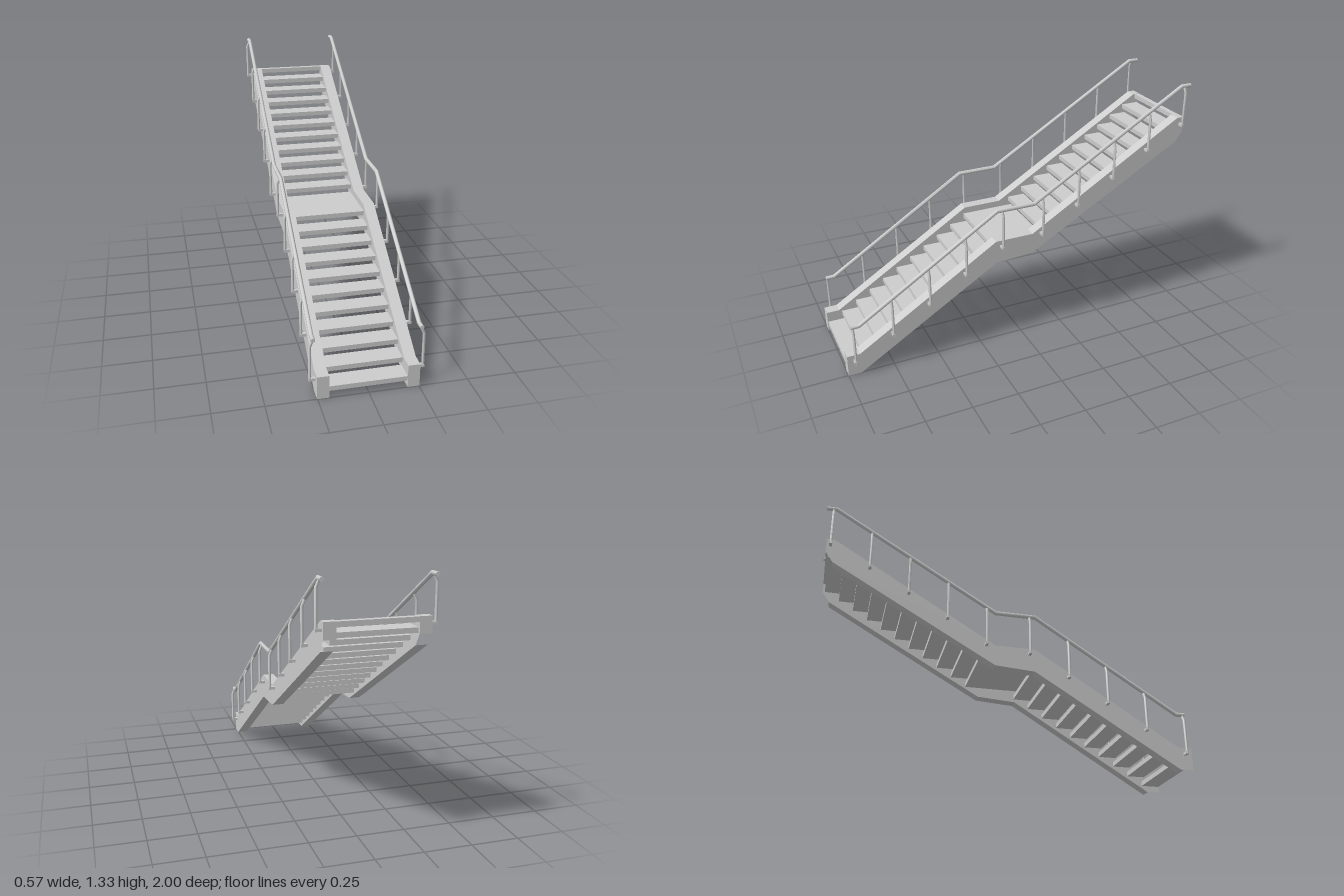
import * as THREE from 'three';
import { toCreasedNormals } from 'three/addons/utils/BufferGeometryUtils.js';

// Stringer outline as [z, y]
const STRINGER = [
  [1, 0], [1, 0.12], [0.93, 0.12], [0.15, 0.61], [-0.065, 0.61], [-0.945, 1.14],
  [-0.985, 1.14], [-0.985, 1.06], [-0.945, 1.0], [-0.065, 0.495], [0.15, 0.48], [0.93, 0],
];
const OPEN_EDGES = [7, 11]; // hollow ends of the stringer

// Handrail centre line as [z, y]
const RAIL = [[0.97, 0.302], [0.925, 0.302], [0.15, 0.796], [-0.065, 0.796], [-0.945, 1.324], [-1, 1.324]];

// Post positions as [z, foot y, top y]
const POSTS = [
  [0.96, 0.08, 0.3], [0.748, 0.195, 0.412], [0.54, 0.325, 0.545], [0.332, 0.455, 0.678], [0.12, 0.57, 0.794],
  [-0.115, 0.6, 0.822], [-0.326, 0.73, 0.95], [-0.537, 0.855, 1.077], [-0.749, 0.98, 1.204], [-0.963, 1.095, 1.322],
];

function fromTriangles(tris) {
  const g = new THREE.BufferGeometry();
  g.setAttribute('position', new THREE.Float32BufferAttribute(tris.flatMap((p) => [p.x, p.y, p.z]), 3));
  g.computeVertexNormals();
  return g;
}

// Closed-ended bar with mitred corners along a flat path; side is the path plane's normal
function bar(points, side, radius, sides) {
  const last = points.length - 1;
  const rings = points.map((p, k) => {
    const before = p.clone().sub(points[Math.max(k - 1, 0)]).normalize();
    const after = points[Math.min(k + 1, last)].clone().sub(p).normalize();
    const tangent = before.clone().add(after).normalize();
    const normal = side.clone().cross(tangent);
    const mitre = 1 / tangent.dot(k < last ? after : before);
    return Array.from({ length: sides }, (_, i) => {
      const a = ((i + 0.5) / sides) * Math.PI * 2;
      return p.clone().addScaledVector(side, radius * Math.cos(a))
        .addScaledVector(normal, radius * mitre * Math.sin(a));
    });
  });
  const tris = [];
  for (let k = 0; k < last; k++) {
    for (let i = 0; i < sides; i++) {
      const j = (i + 1) % sides;
      const [a, b, c, d] = [rings[k][i], rings[k][j], rings[k + 1][j], rings[k + 1][i]];
      tris.push(a, d, c, a, c, b);
    }
  }
  for (let i = 1; i < sides - 1; i++) {
    tris.push(rings[0][0], rings[0][i], rings[0][i + 1]);
    tris.push(rings[last][0], rings[last][i + 1], rings[last][i]);
  }
  return toCreasedNormals(fromTriangles(tris), 0.9);
}

// Hollow side beam between two x planes
function stringerGeometry(x0, x1) {
  const at = (x, [z, y]) => new THREE.Vector3(x, y, z);
  const tris = [];
  STRINGER.forEach((p, i) => {
    if (OPEN_EDGES.includes(i)) return;
    const q = STRINGER[(i + 1) % STRINGER.length];
    tris.push(at(x0, p), at(x1, p), at(x1, q), at(x0, p), at(x1, q), at(x0, q));
  });
  const outline = STRINGER.map(([z, y]) => new THREE.Vector2(z, y));
  for (const [a, b, c] of THREE.ShapeUtils.triangulateShape(outline, [])) {
    const [p, q, r] = [STRINGER[a], STRINGER[b], STRINGER[c]];
    tris.push(at(x0, p), at(x0, q), at(x0, r), at(x1, p), at(x1, r), at(x1, q));
  }
  return fromTriangles(tris);
}

export function createModel() {
  const model = new THREE.Group();
  model.name = 'staircase';
  const grey = new THREE.MeshStandardMaterial({ color: 0xcccccc });
  grey.name = 'light grey metal';

  const add = (parent, name, geometry) => {
    const mesh = new THREE.Mesh(geometry, grey);
    mesh.name = name;
    parent.add(mesh);
    return mesh;
  };

  // Treads, with the landing as the eleventh
  const treads = new THREE.Group();
  treads.name = 'treads';
  model.add(treads);
  for (let k = 0; k < 22; k++) {
    const front = k <= 10 ? 0.997 - k * 0.0836 : -0.124 - (k - 11) * 0.0831;
    const back = k === 10 ? -0.14 : Math.max(front - 0.1, -0.985);
    const tread = add(treads, k === 10 ? 'landing' : 'tread', new THREE.BoxGeometry(0.388, 0.025, front - back));
    tread.position.set(0, 0.06 + k * 0.0514 - 0.0125, (front + back) / 2);
  }

  // Stringer, handrail and posts on each side
  for (const s of [1, -1]) {
    const sideGroup = new THREE.Group();
    sideGroup.name = s > 0 ? 'leftSide' : 'rightSide';
    model.add(sideGroup);

    add(sideGroup, 'stringer', stringerGeometry(s * 0.223 - 0.03, s * 0.223 + 0.03));

    const railPath = RAIL.map(([z, y]) => new THREE.Vector3(s * 0.264, y, z));
    add(sideGroup, 'handrail', bar(railPath, new THREE.Vector3(1, 0, 0), 0.011, 8));

    for (const [z, foot, top] of POSTS) {
      const postPath = [[0.279, foot], [0.279, top - 0.035], [0.265, top - 0.004]]
        .map(([x, y]) => new THREE.Vector3(s * x, y, z));
      add(sideGroup, 'post', bar(postPath, new THREE.Vector3(0, 0, 1), 0.0072, 8));
      const bracket = add(sideGroup, 'postBracket', new THREE.BoxGeometry(0.034, 0.015, 0.016));
      bracket.position.set(s * 0.268, foot + 0.0075, z);
    }
  }
  return model;
}
